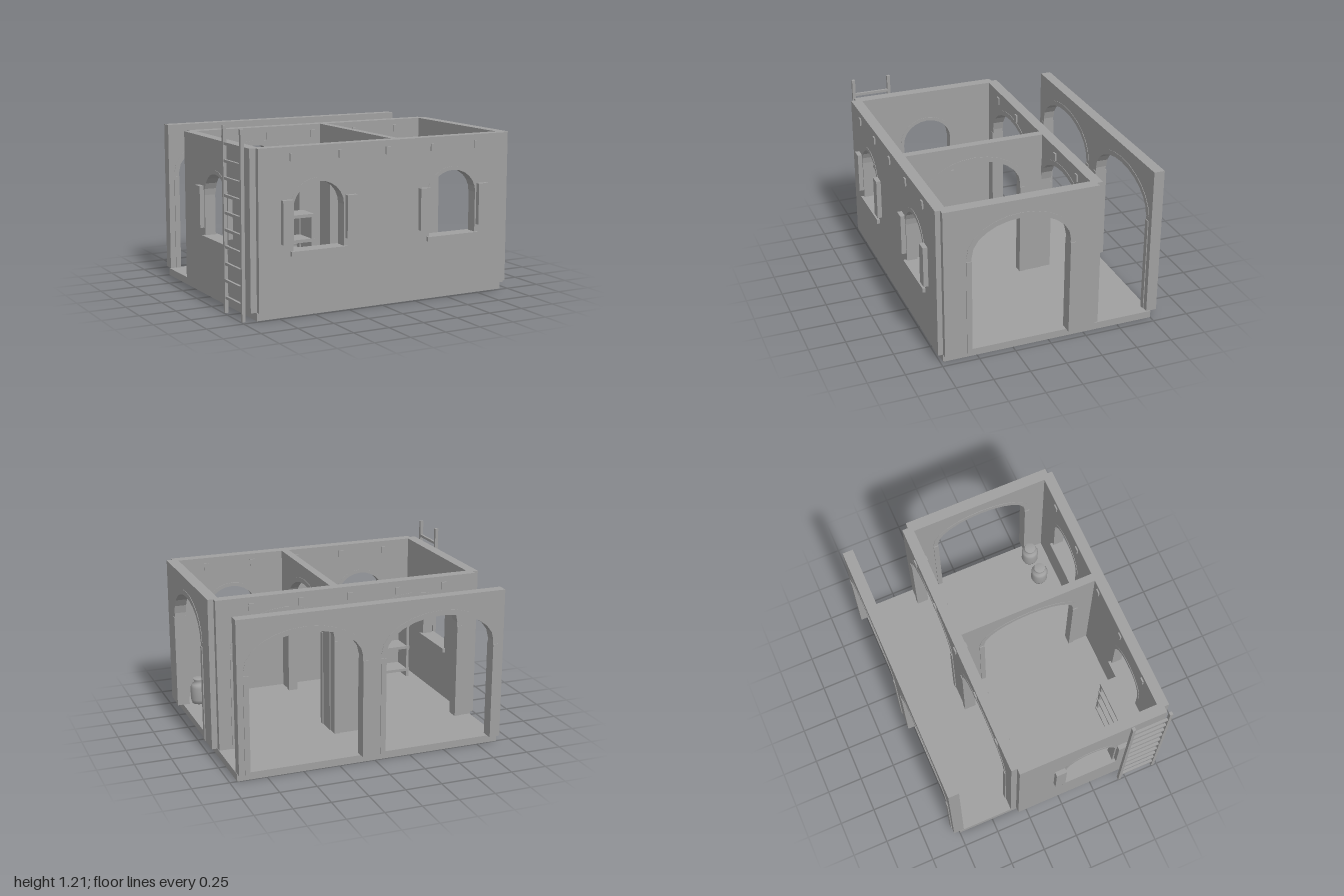
import * as THREE from 'three';

const BASE = 0.055, TOP = 1.09;

export function createModel() {
  const model = new THREE.Group();
  model.name = 'openHouse';
  const plaster = new THREE.MeshStandardMaterial({ color: 0xa0a0a0 });
  plaster.name = 'greyPlaster';

  function add(parent, name, geometry) {
    const mesh = new THREE.Mesh(geometry, plaster);
    mesh.name = name;
    parent.add(mesh);
    return mesh;
  }
  // Box given by its lower and upper limits on each axis
  function box(parent, name, x0, x1, y0, y1, z0, z1) {
    const g = new THREE.BoxGeometry(x1 - x0, y1 - y0, z1 - z0);
    g.translate((x0 + x1) / 2, (y0 + y1) / 2, (z0 + z1) / 2);
    return add(parent, name, g);
  }
  // Half-ellipse points, from the negative side to the positive side
  function archPoints(c, half, spring, rise) {
    const pts = [];
    for (let i = 0; i <= 12; i++) {
      const a = Math.PI * (1 - i / 12);
      pts.push(new THREE.Vector2(c + half * Math.cos(a), spring + rise * Math.sin(a)));
    }
    return pts;
  }
  function slab(points, depth, holes = []) {
    const shape = new THREE.Shape(points);
    holes.forEach(h => shape.holes.push(new THREE.Path(h)));
    return new THREE.ExtrudeGeometry(shape, { depth, bevelEnabled: false }).translate(0, 0, -depth / 2);
  }
  // Narrow band following the curve of an arch
  function archBand(parent, c, half, spring, rise, thick, depth) {
    const outer = archPoints(c, half + thick, spring, rise + thick);
    const inner = archPoints(c, half, spring, rise).reverse();
    add(parent, 'archTrim', slab([...outer, ...inner], depth));
  }

  // Wall built along local x, thickness t on local z, outside facing +z
  function wall(name, u0, u1, t, doors, windows) {
    const g = new THREE.Group();
    g.name = name;
    const outline = [new THREE.Vector2(u0, BASE)];
    for (const { c, half } of doors) {
      outline.push(new THREE.Vector2(c - half, BASE), ...archPoints(c, half, 0.75, 0.215),
        new THREE.Vector2(c + half, BASE));
      archBand(g, c, half, 0.75, 0.215, 0.035, t + 0.006);
      for (const s of [-1, 1]) {
        const a = c + s * half, b = c + s * (half + 0.036);
        box(g, 'doorJamb', Math.min(a, b), Math.max(a, b), BASE, 0.72, -t / 2 - 0.006, t / 2 + 0.006);
      }
    }
    outline.push(new THREE.Vector2(u1, BASE), new THREE.Vector2(u1, TOP), new THREE.Vector2(u0, TOP));
    const holes = windows.map(c => [new THREE.Vector2(c - 0.18, 0.43),
      ...archPoints(c, 0.18, 0.7, 0.163), new THREE.Vector2(c + 0.18, 0.43)]);
    add(g, 'wallPanel', slab(outline, t, holes));
    for (const c of windows) {
      archBand(g, c, 0.18, 0.7, 0.163, 0.025, t + 0.006);
      box(g, 'windowSill', c - 0.2, c + 0.2, 0.4, 0.43, -t / 2 - 0.02, t / 2 + 0.02);
      for (const s of [-1, 1]) {
        box(g, 'shutter', c + s * 0.228 - 0.037, c + s * 0.228 + 0.037, 0.48, 0.76, t / 2, t / 2 + 0.032);
      }
    }
    model.add(g);
    return g;
  }
  // Beam ends showing on both faces of a wall
  function beamEnds(parent, t) {
    for (let i = 0; i < 5; i++) {
      const x = -0.665 + i * 0.344;
      box(parent, 'beamEnd', x - 0.018, x + 0.018, 1.0, 1.05, -t / 2 - 0.01, t / 2 + 0.01);
    }
  }

  box(model, 'floor', -0.9, 0.95, 0, 0.05, -0.75, 0.73);

  // Long walls
  const front = wall('frontWall', -0.9, 0.95, 0.074, [], [-0.48, 0.525]);
  front.position.z = 0.727;
  beamEnds(front, 0.074);
  const back = wall('backWall', -0.9, 0.95, 0.072,
    [{ c: -0.43, half: 0.345 }, { c: 0.48, half: 0.345 }], []);
  back.position.z = -0.32;
  beamEnds(back, 0.072);
  const arcade = wall('rearArcade', -0.9, 0.95, 0.074,
    [{ c: -0.44, half: 0.384 }, { c: 0.49, half: 0.384 }], []);
  arcade.position.z = -0.755;

  // Cross walls, turned so that local x runs along z and the outside faces -x
  const sideDoor = [{ c: 0.21, half: 0.335 }];
  const crossWalls = [
    ['rightWall', -0.905, -0.315, 0.73, 0.074, [], [0.208]],
    ['leftWall', 0.951, -0.315, 0.73, 0.076, sideDoor, []],
    ['dividerWall', 0.113, -0.285, 0.69, 0.055, sideDoor, []],
  ];
  for (const [name, x, z0, z1, t, doors, windows] of crossWalls) {
    const w = wall(name, z0, z1, t, doors, windows);
    w.rotation.y = -Math.PI / 2;
    w.position.x = x;
  }

  // Ladder beside the right wall
  const ladder = new THREE.Group();
  ladder.name = 'ladder';
  model.add(ladder);
  for (const z of [0.456, 0.718]) box(ladder, 'ladderRail', -1, -0.977, 0.005, 1.21, z - 0.011, z + 0.011);
  for (let i = 1; i <= 10; i++) {
    const y = i * 0.11 - 0.003;
    box(ladder, 'ladderRung', -0.997, -0.98, y - 0.009, y + 0.009, 0.456, 0.718);
  }

  // Open shelf unit behind the front window
  const shelves = new THREE.Group();
  shelves.name = 'shelfUnit';
  model.add(shelves);
  for (const x of [-0.81, -0.48]) box(shelves, 'shelfSide', x, x + 0.02, BASE, 0.634, 0.513, 0.663);
  for (const y of [0.1, 0.28, 0.455, 0.615]) box(shelves, 'shelfBoard', -0.812, -0.46, y, y + 0.021, 0.506, 0.666);

  // Lathe-turned jars: two on the floor, one on a shelf
  function jar(x, y, z, s) {
    const profile = [[0, 0], [0.052, 0], [0.061, 0.03], [0.061, 0.12], [0.052, 0.142], [0.036, 0.15],
      [0.036, 0.17], [0.04, 0.175], [0.04, 0.185], [0, 0.185]].map(p => new THREE.Vector2(...p));
    const m = add(model, 'jar', new THREE.LatheGeometry(profile, 20));
    m.position.set(x, y, z);
    m.scale.setScalar(s);
  }
  jar(0.655, BASE, 0.56, 1);
  jar(0.83, BASE, 0.56, 1);
  jar(-0.575, 0.301, 0.585, 0.78);

  return model;
}
